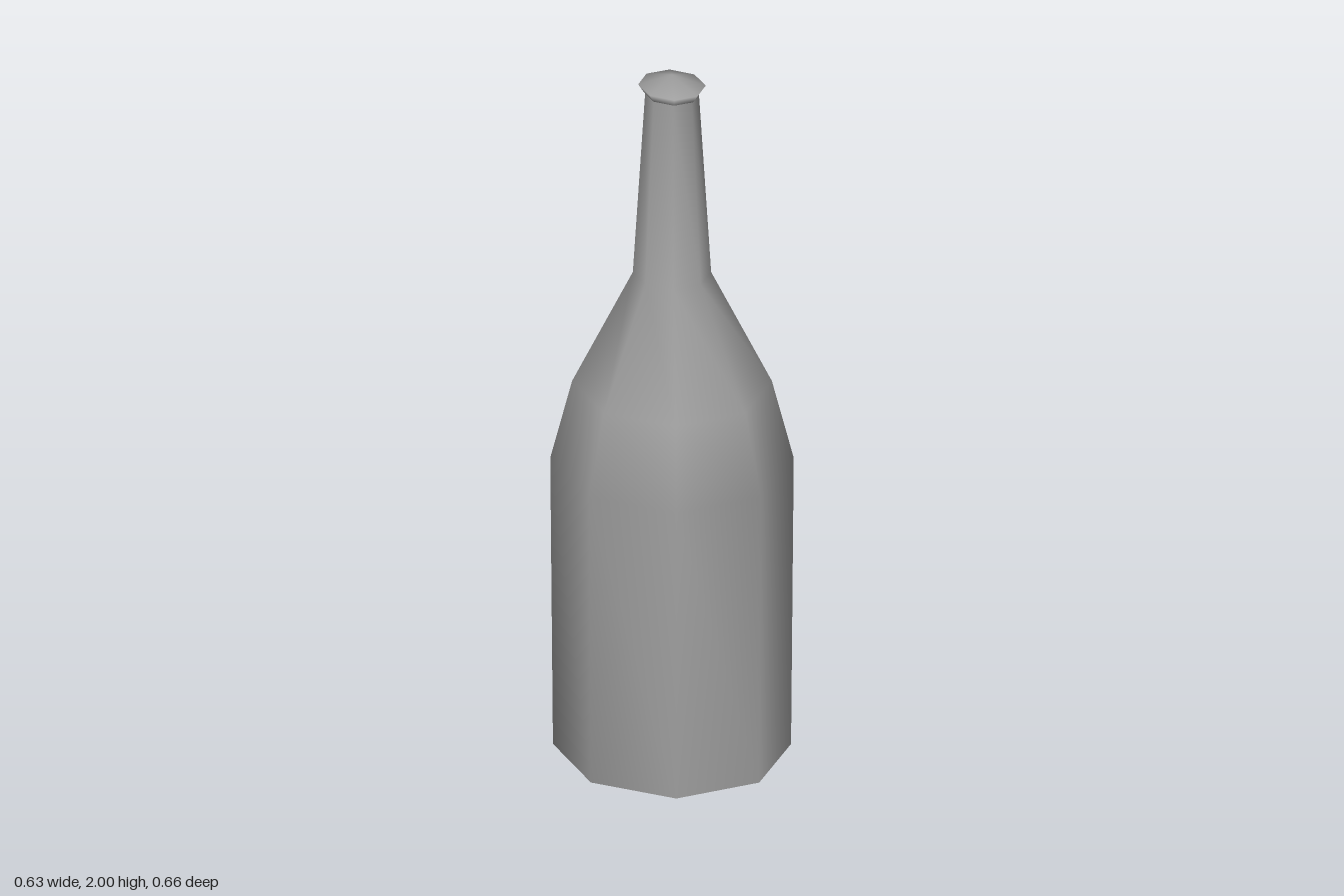
import * as THREE from 'three';
import { mergeVertices } from 'three/addons/utils/BufferGeometryUtils.js';

// Eight-sided turned part, slightly deeper in z than in x, smooth all round
function turned(name, profile, depth) {
  const points = profile.map(([r, y]) => new THREE.Vector2(r, y));
  const lathe = new THREE.LatheGeometry(points, 8);
  lathe.scale(1, 1, depth);
  lathe.deleteAttribute('normal');
  lathe.deleteAttribute('uv');
  const geometry = mergeVertices(lathe);
  geometry.computeVertexNormals();
  const material = new THREE.MeshStandardMaterial({ color: 0x9e9e9e, side: THREE.DoubleSide });
  const mesh = new THREE.Mesh(geometry, material);
  mesh.name = name;
  return mesh;
}

export function createModel() {
  const bottle = new THREE.Group();
  bottle.name = 'bottle';

  // Body, shoulder and neck in one shell, open underneath
  bottle.add(turned('body', [
    [0.31, 0],
    [0.317, 0.855],
    [0.26, 1.085],
    [0.102, 1.41],
    [0.07, 1.945],
  ], 1.038));

  // Low pointed cap with a flared rim
  bottle.add(turned('cap', [
    [0.07, 1.945],
    [0.085, 1.969],
    [0, 2],
  ], 1.11));

  return bottle;
}
